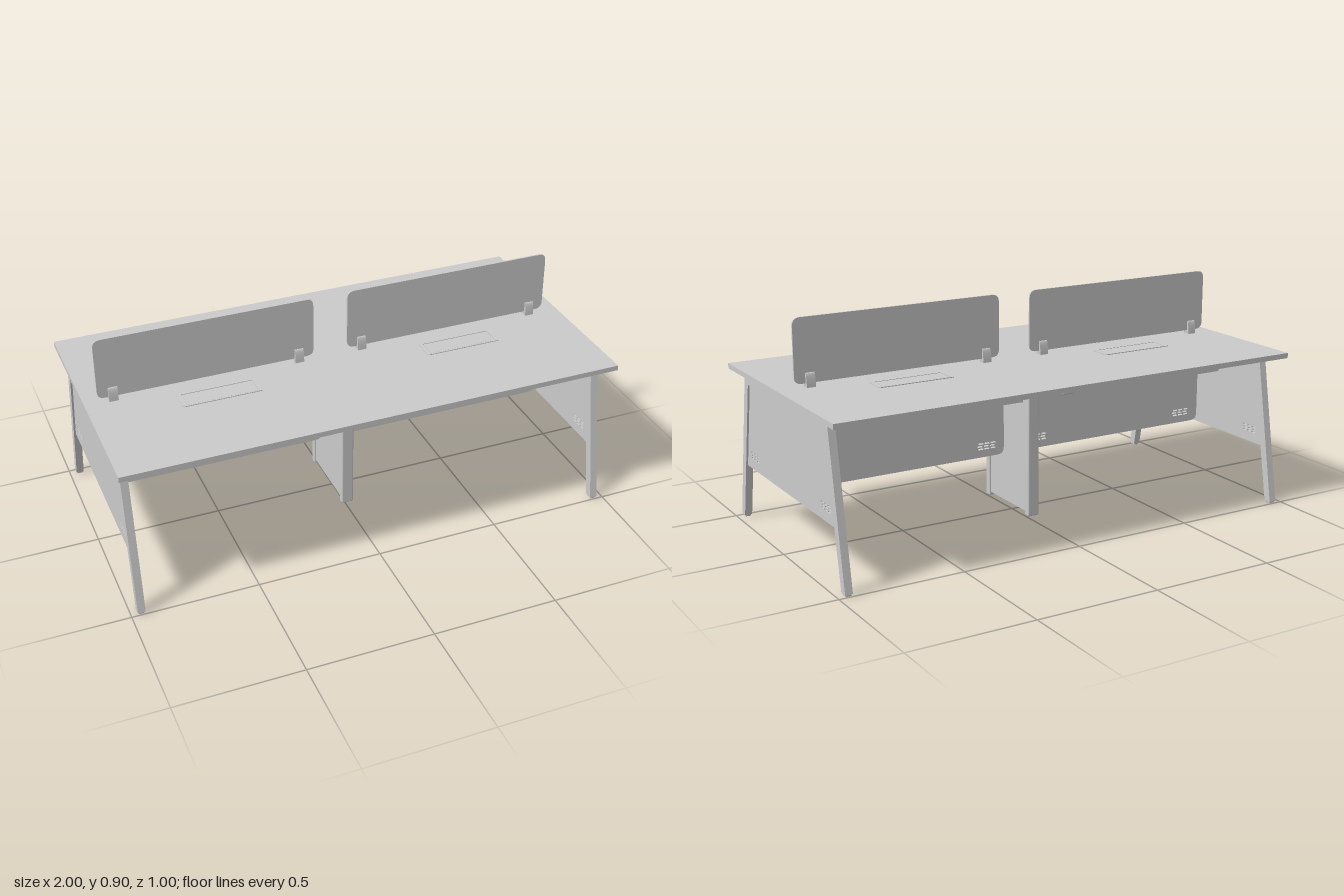
import * as THREE from 'three';
import { RoundedBoxGeometry } from 'three/addons/geometries/RoundedBoxGeometry.js';

const material = new THREE.MeshStandardMaterial({ color: 0xcccccc });

function add(parent, name, geometry, x = 0, y = 0, z = 0) {
  const mesh = new THREE.Mesh(geometry, material);
  mesh.name = name;
  mesh.position.set(x, y, z);
  parent.add(mesh);
  return mesh;
}

// Box given by its limits on each axis
function slab(parent, name, x0, x1, y0, y1, z0, z1) {
  return add(parent, name, new THREE.BoxGeometry(x1 - x0, y1 - y0, z1 - z0),
    (x0 + x1) / 2, (y0 + y1) / 2, (z0 + z1) / 2);
}

// Rectangle with separate radii for the lower and upper corners
function roundedRect(x0, x1, y0, y1, low, high) {
  const s = new THREE.Shape();
  s.moveTo(x0 + low, y0).lineTo(x1 - low, y0);
  if (low) s.quadraticCurveTo(x1, y0, x1, y0 + low);
  s.lineTo(x1, y1 - high);
  if (high) s.quadraticCurveTo(x1, y1, x1 - high, y1);
  s.lineTo(x0 + high, y1);
  if (high) s.quadraticCurveTo(x0, y1, x0, y1 - high);
  s.lineTo(x0, y0 + low);
  if (low) s.quadraticCurveTo(x0, y0, x0 + low, y0);
  return s;
}

const polygon = (points) => new THREE.Shape(points.map(([a, b]) => new THREE.Vector2(a, b)));

// Three staggered rows of ventilation slots
function cutSlots(shape, cx, cy) {
  for (let row = -1; row <= 1; row++) {
    for (let col = -1; col <= 1; col++) {
      const x = cx + col * 0.028 + (row === 0 ? 0.004 : 0), y = cy + row * 0.011;
      shape.holes.push(new THREE.Path(
        roundedRect(x - 0.011, x + 0.011, y - 0.003, y + 0.003, 0.002, 0.002).getPoints(3)));
    }
  }
}

// Extrusion centred on its own thickness; sideways turns it to face along x
function plate(shape, depth, sideways = false) {
  const g = new THREE.ExtrudeGeometry(shape, { depth, bevelEnabled: false, curveSegments: 6 });
  g.translate(0, 0, -depth / 2);
  if (sideways) g.rotateY(Math.PI / 2);
  return g;
}

function endFrame(side) {
  const frame = new THREE.Group();
  frame.name = side > 0 ? 'leftEndFrame' : 'rightEndFrame';
  // Splayed legs and top bar with mitred corners
  for (const s of [1, -1]) {
    add(frame, 'endLeg', plate(polygon(
      [[s * 0.465, 0.008], [s * 0.497, 0.008], [s * 0.39, 0.61], [s * 0.36, 0.575]]), 0.03, true));
    add(frame, 'foot', new RoundedBoxGeometry(0.024, 0.012, 0.028, 2, 0.004), 0, 0.006, s * 0.481);
  }
  add(frame, 'topBar', plate(polygon(
    [[-0.36, 0.575], [0.36, 0.575], [0.39, 0.61], [-0.39, 0.61]]), 0.03, true));
  // Infill panel between the legs
  const panel = polygon([[-0.424, 0.23], [0.424, 0.23], [0.36, 0.575], [-0.36, 0.575]]);
  for (const s of [1, -1]) cutSlots(panel, s * 0.337, 0.285);
  add(frame, 'endPanel', plate(panel, 0.014, true));
  frame.position.x = side * 0.96;
  return frame;
}

function centreSupport() {
  const support = new THREE.Group();
  support.name = 'centreSupport';
  for (const s of [1, -1]) {
    add(support, 'centrePost', new RoundedBoxGeometry(0.05, 0.57, 0.028, 2, 0.006), 0, 0.305, s * 0.154);
  }
  slab(support, 'centrePanel', -0.018, 0.018, 0.035, 0.58, -0.141, 0.141);
  add(support, 'crossArm', new RoundedBoxGeometry(0.05, 0.033, 0.83, 2, 0.006), 0, 0.596, 0);
  return support;
}

// Tray, hanging panel and rails under one half of the top
function underHalf(side) {
  const half = new THREE.Group();
  half.name = side > 0 ? 'leftUnderside' : 'rightUnderside';
  const x0 = side > 0 ? 0.03 : -0.945, x1 = x0 + 0.915;
  for (const s of [1, -1]) {
    slab(half, 'rail', x0, x1, 0.578, 0.61, s * 0.155 - 0.014, s * 0.155 + 0.014);
    slab(half, 'trayWall', x0, x1, 0.49, 0.545, s * 0.13 - 0.003, s * 0.13 + 0.003);
  }
  slab(half, 'trayBottom', x0, x1, 0.488, 0.494, -0.133, 0.133);
  const bar = side > 0 ? 0.41 : -0.57;
  slab(half, 'crossBar', bar - 0.012, bar + 0.012, 0.582, 0.606, -0.145, 0.145);
  const panel = roundedRect(x0 + 0.012, x1 - 0.015, 0.245, 0.488, 0.03, 0);
  for (const x of [0.12, 0.845]) cutSlots(panel, side * x, 0.29);
  add(half, 'modestyPanel', plate(panel, 0.012));
  return half;
}

// Divider screen standing in two tapered clips
function screen(x0, x1) {
  const group = new THREE.Group();
  group.name = 'dividerScreen';
  add(group, 'screenPanel', plate(roundedRect(x0, x1, 0.65, 0.9, 0.03, 0.03), 0.007));
  const clip = new THREE.Shape();
  clip.moveTo(-0.016, 0.634).lineTo(0.016, 0.634).lineTo(0.015, 0.65);
  clip.quadraticCurveTo(0.012, 0.688, 0.005, 0.69).lineTo(-0.005, 0.69);
  clip.quadraticCurveTo(-0.012, 0.688, -0.015, 0.65);
  for (const x of [x0 + 0.06, x1 - 0.062]) add(group, 'screenClip', plate(clip, 0.036, true), x);
  return group;
}

// Cable access hatch: raised rim around a flush lid
function hatch(x, z, turn) {
  const group = new THREE.Group();
  group.name = 'cableHatch';
  const rim = roundedRect(-0.158, 0.158, -0.048, 0.048, 0.01, 0.01);
  rim.holes.push(new THREE.Path(roundedRect(-0.142, 0.142, -0.042, 0.036, 0.003, 0.003).getPoints(3)));
  add(group, 'hatchRim', plate(rim, 0.006).rotateX(-Math.PI / 2), 0, 0.635, 0);
  slab(group, 'hatchLid', -0.139, 0.139, 0.63, 0.637, -0.034, 0.04);
  group.position.set(x, 0, z);
  group.rotation.y = turn;
  return group;
}

export function createModel() {
  const desk = new THREE.Group();
  desk.name = 'fourSeatDesk';
  slab(desk, 'desktop', -1, 1, 0.614, 0.635, -0.5, 0.5);
  desk.add(centreSupport());
  for (const side of [1, -1]) {
    desk.add(endFrame(side), underHalf(side));
    for (const s of [1, -1]) desk.add(hatch(side * 0.502, s * 0.107, s > 0 ? 0 : Math.PI));
  }
  desk.add(screen(-0.947, -0.08), screen(0.062, 0.931));
  return desk;
}
